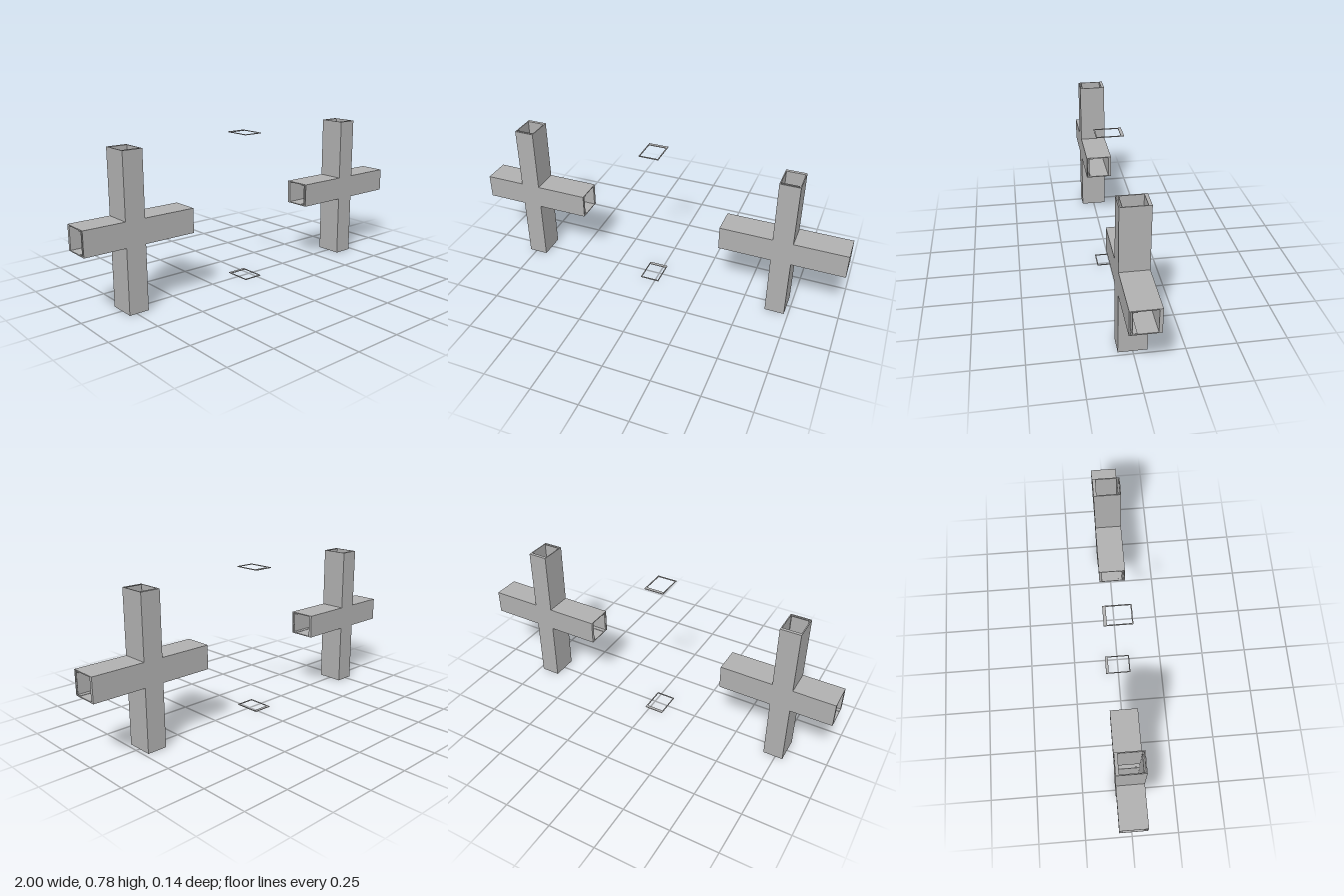
import * as THREE from 'three';

const steel = new THREE.MeshStandardMaterial({ color: 0xb0b0b0 });
steel.name = 'grey steel';

const TOP = 0.78, ARM_LOW = 0.33, ARM_HIGH = 0.455, WALL = 0.005;
const FRONT = 0.071, FRONT_IN = 0.065, BACK_IN = -0.055, BACK = -0.071;

// Box given by its lower and upper limits on each axis
function box(name, x0, x1, y0, y1, z0, z1) {
  const mesh = new THREE.Mesh(new THREE.BoxGeometry(x1 - x0, y1 - y0, z1 - z0), steel);
  mesh.name = name;
  mesh.position.set((x0 + x1) / 2, (y0 + y1) / 2, (z0 + z1) / 2);
  return mesh;
}

// Cross-shaped plate, with the bars narrowed by inset
function crossPlate(name, c, inset, z0, z1) {
  const l = c.postLeft + inset, r = c.postRight - inset;
  const a = ARM_LOW + inset, b = ARM_HIGH - inset;
  const outline = [
    [l, 0], [r, 0], [r, a], [c.end, a], [c.end, b], [r, b],
    [r, TOP], [l, TOP], [l, b], [c.start, b], [c.start, a], [l, a],
  ].map(([x, y]) => new THREE.Vector2(x, y));
  const geometry = new THREE.ExtrudeGeometry(new THREE.Shape(outline), { depth: z1 - z0, bevelEnabled: false });
  const mesh = new THREE.Mesh(geometry, steel);
  mesh.name = name;
  mesh.position.z = z0;
  return mesh;
}

// Hollow cross: front and back plates joined by webs
function hollowCross(name, c) {
  const group = new THREE.Group();
  group.name = name;
  group.add(
    crossPlate('frontPlate', c, 0, FRONT_IN, FRONT),
    crossPlate('backPlate', c, 0, BACK, BACK_IN),
    crossPlate('innerLiner', c, 0.009, 0.055, 0.057),
  );
  // Post webs above and below the arms
  for (const [y0, y1] of [[0, ARM_LOW + WALL], [ARM_HIGH - WALL, TOP]]) {
    group.add(
      box('postWeb', c.postLeft, c.postLeft + WALL, y0, y1, BACK_IN, FRONT_IN),
      box('postWeb', c.postRight - WALL, c.postRight, y0, y1, BACK_IN, FRONT_IN),
    );
  }
  // Arm webs on either side of the post, with the liner's short flanges
  for (const [x0, x1] of [[c.start, c.postLeft], [c.postRight, c.end]]) {
    group.add(
      box('armWeb', x0, x1, ARM_LOW, ARM_LOW + WALL, BACK_IN, FRONT_IN),
      box('armWeb', x0, x1, ARM_HIGH - WALL, ARM_HIGH, BACK_IN, FRONT_IN),
      box('linerFlange', x0, x1, ARM_LOW + 0.007, ARM_LOW + 0.009, 0.035, 0.057),
      box('linerFlange', x0, x1, ARM_HIGH - 0.009, ARM_HIGH - 0.007, 0.035, 0.057),
    );
  }
  return group;
}

// Flat rectangular ring matching the open end of a post
function endFrame(name, y) {
  const group = new THREE.Group();
  group.name = name;
  const x0 = -0.083, x1 = 0.021, y1 = y + 0.004;
  group.add(
    box('frameFront', x0, x1, y, y1, FRONT_IN, FRONT),
    box('frameBack', x0, x1, y, y1, BACK, BACK_IN),
    box('frameSide', x0, x0 + WALL, y, y1, BACK_IN, FRONT_IN),
    box('frameSide', x1 - WALL, x1, y, y1, BACK_IN, FRONT_IN),
  );
  return group;
}

export function createModel() {
  const model = new THREE.Group();
  model.name = 'hollowCrosses';
  model.add(
    hollowCross('rightCross', { start: -1, postLeft: -0.788, postRight: -0.685, end: -0.413 }),
    hollowCross('leftCross', { start: 0.353, postLeft: 0.626, postRight: 0.729, end: 1 }),
    endFrame('topFrame', TOP - 0.004),
    endFrame('bottomFrame', 0.002),
  );
  return model;
}
